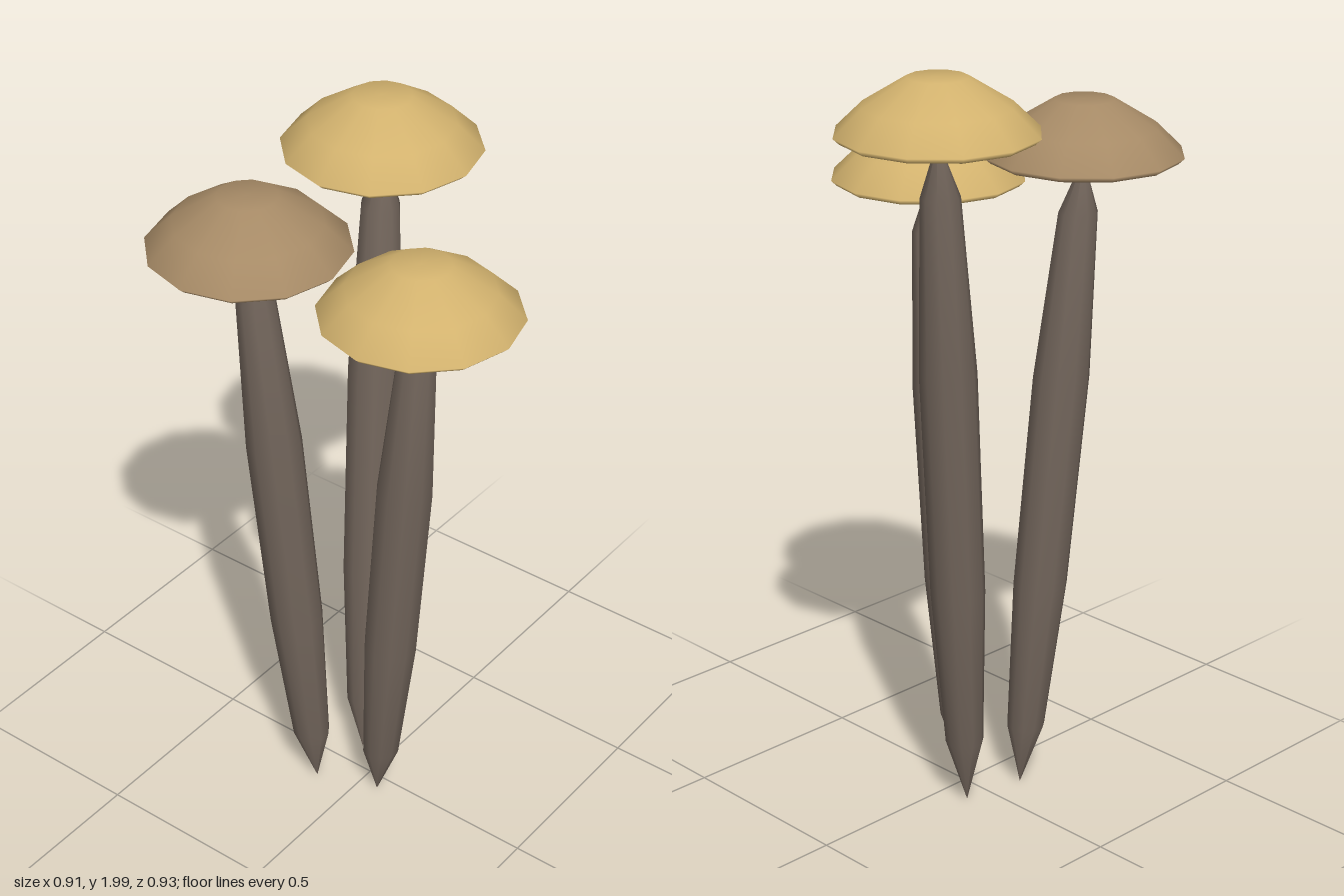
import * as THREE from 'three';

const material = (name, color) => Object.assign(new THREE.MeshStandardMaterial({ color }), { name });
const points = (list) => list.map(([x, y]) => new THREE.Vector2(x, y));

// Spindle stem: pointed at both ends, sheared so that it leans from base to top
function stemGeometry(base, top) {
  const height = top.y - base.y;
  const profile = [[0, 0], [0.05, 0.1], [0.071, 0.34], [0.073, 0.67], [0.05, 0.92], [0, 1]];
  const geometry = new THREE.LatheGeometry(points(profile.map(([r, t]) => [r, t * height])), 10);
  const shear = new THREE.Matrix4().set(
    1, (top.x - base.x) / height, 0, base.x,
    0, 1, 0, base.y,
    0, (top.z - base.z) / height, 1, base.z,
    0, 0, 0, 1);
  return geometry.applyMatrix4(shear);
}

export function createModel() {
  const model = new THREE.Group();
  model.name = 'mushroomCluster';
  const tan = material('tan cap', 0xd2b26e);
  const brown = material('brown cap', 0xa68a66);
  const stemColor = material('stem brown', 0x73665c);

  // Twelve-sided dome with a narrow rim and a flat underside
  const dome = new THREE.LatheGeometry(points([
    [0.238, 0], [0.253, 0.014], [0.185, 0.08], [0.075, 0.148], [0, 0.146],
  ]), 12);
  const underside = new THREE.CircleGeometry(0.238, 12).rotateX(Math.PI / 2);

  const mushrooms = [
    { name: 'tall', base: [-0.08, 0.01, -0.07], top: [-0.125, 1.853, -0.212], color: tan },
    { name: 'middle', base: [-0.11, 0.01, 0.1], top: [-0.203, 1.743, 0.21], color: brown },
    { name: 'short', base: [0.055, 0.01, 0.042], top: [0.2, 1.634, 0.066], color: tan },
  ];
  for (const { name, base, top, color } of mushrooms) {
    const mushroom = new THREE.Group();
    mushroom.name = name + 'Mushroom';
    const foot = new THREE.Vector3(...base), tip = new THREE.Vector3(...top);

    const stem = new THREE.Mesh(stemGeometry(foot, tip), stemColor);
    stem.name = 'stem';
    const cap = new THREE.Mesh(dome, color);
    cap.name = 'cap';
    const gills = new THREE.Mesh(underside, color);
    gills.name = 'capUnderside';
    cap.position.copy(tip);
    gills.position.copy(tip);
    mushroom.add(stem, cap, gills);
    model.add(mushroom);
  }
  return model;
}
